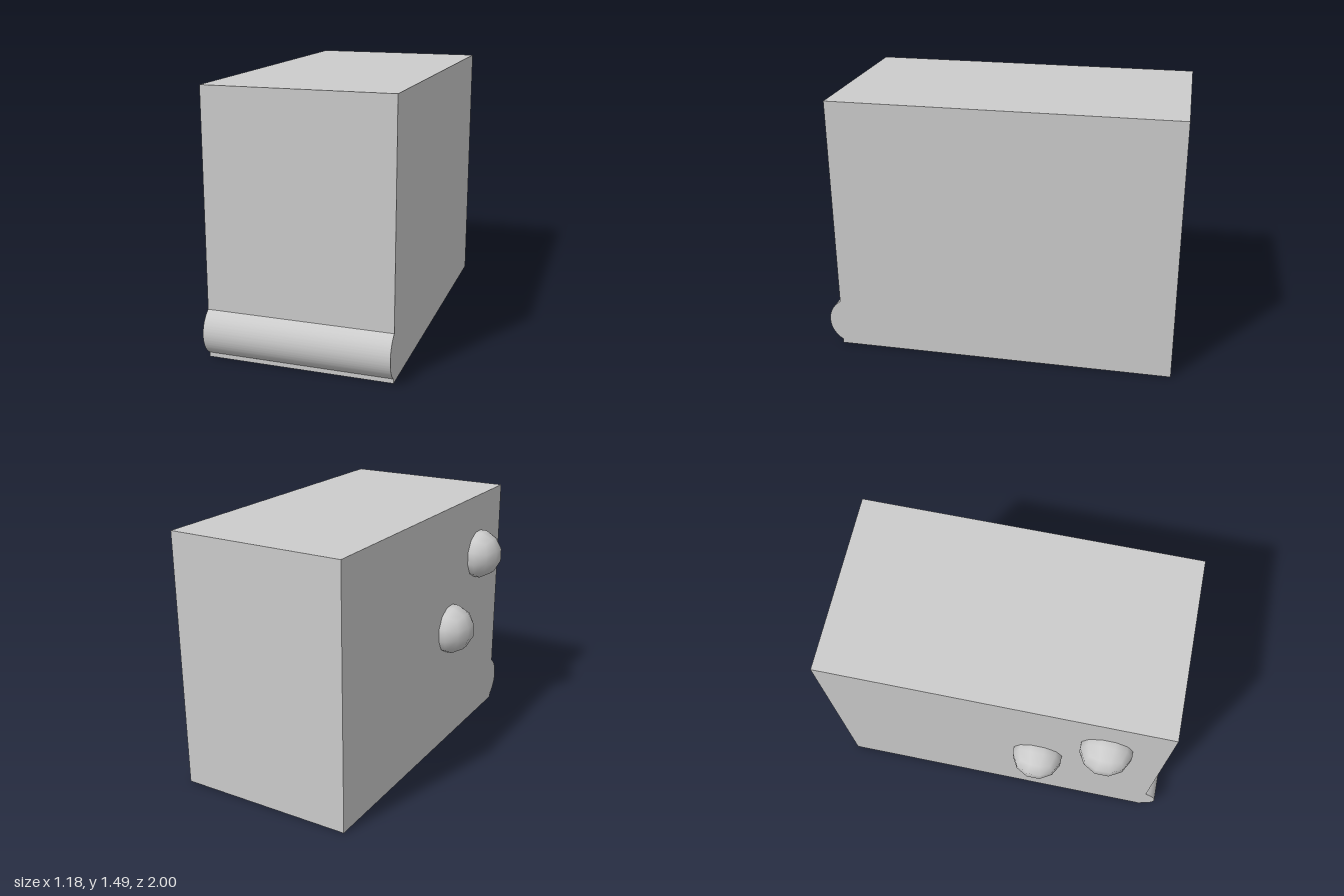
import * as THREE from 'three';
import { toCreasedNormals } from 'three/addons/utils/BufferGeometryUtils.js';

const grey = new THREE.MeshStandardMaterial({ color: 0xcccccc });
grey.name = 'grey';

const LEFT = 0.59, RIGHT = -0.45, HEIGHT = 1.49, FRONT = 0.93, BACK = -1;
const WIDTH = LEFT - RIGHT;

function part(name, geometry) {
  const mesh = new THREE.Mesh(geometry, grey);
  mesh.name = name;
  return mesh;
}

// Ball made from a cube with three equal-angle divisions per side
function ballGeometry(radius) {
  const geo = new THREE.BoxGeometry(2, 2, 2, 3, 3, 3);
  const pos = geo.attributes.position;
  const v = new THREE.Vector3();
  const spread = (c) => Math.tan((c * Math.PI) / 4);
  for (let i = 0; i < pos.count; i++) {
    v.fromBufferAttribute(pos, i);
    v.set(spread(v.x), spread(v.y), spread(v.z)).normalize();
    geo.attributes.normal.setXYZ(i, v.x, v.y, v.z);
    pos.setXYZ(i, v.x * radius, v.y * radius, v.z * radius);
  }
  return geo;
}

// Rounded strip standing out of the front face, profile drawn in z and y
function rollGeometry() {
  const radius = 0.146, cz = 1 - radius, cy = 0.15;
  const half = Math.acos((FRONT - cz) / radius);
  const shape = new THREE.Shape();
  shape.absarc(cz, cy, radius, -half, half, false);
  shape.closePath();
  const geo = new THREE.ExtrudeGeometry(shape, { depth: WIDTH, bevelEnabled: false, curveSegments: 24 });
  geo.rotateY(-Math.PI / 2);
  geo.translate(LEFT, 0, 0);
  return toCreasedNormals(geo, 0.5);
}

export function createModel() {
  const model = new THREE.Group();
  model.name = 'cabinet';

  // Main block
  const body = part('body', new THREE.BoxGeometry(WIDTH, HEIGHT, FRONT - BACK));
  body.position.set((LEFT + RIGHT) / 2, HEIGHT / 2, (FRONT + BACK) / 2);
  model.add(body);

  // Bottom front strip
  model.add(part('frontRoll', rollGeometry()));

  // Two half-sunk knobs on the right side
  const ball = ballGeometry(0.152);
  [['upperKnob', 1.12, 0.597], ['lowerKnob', 0.745, 0.222]].forEach(([name, y, z]) => {
    const knob = part(name, ball);
    knob.position.set(RIGHT, y, z);
    model.add(knob);
  });

  return model;
}
